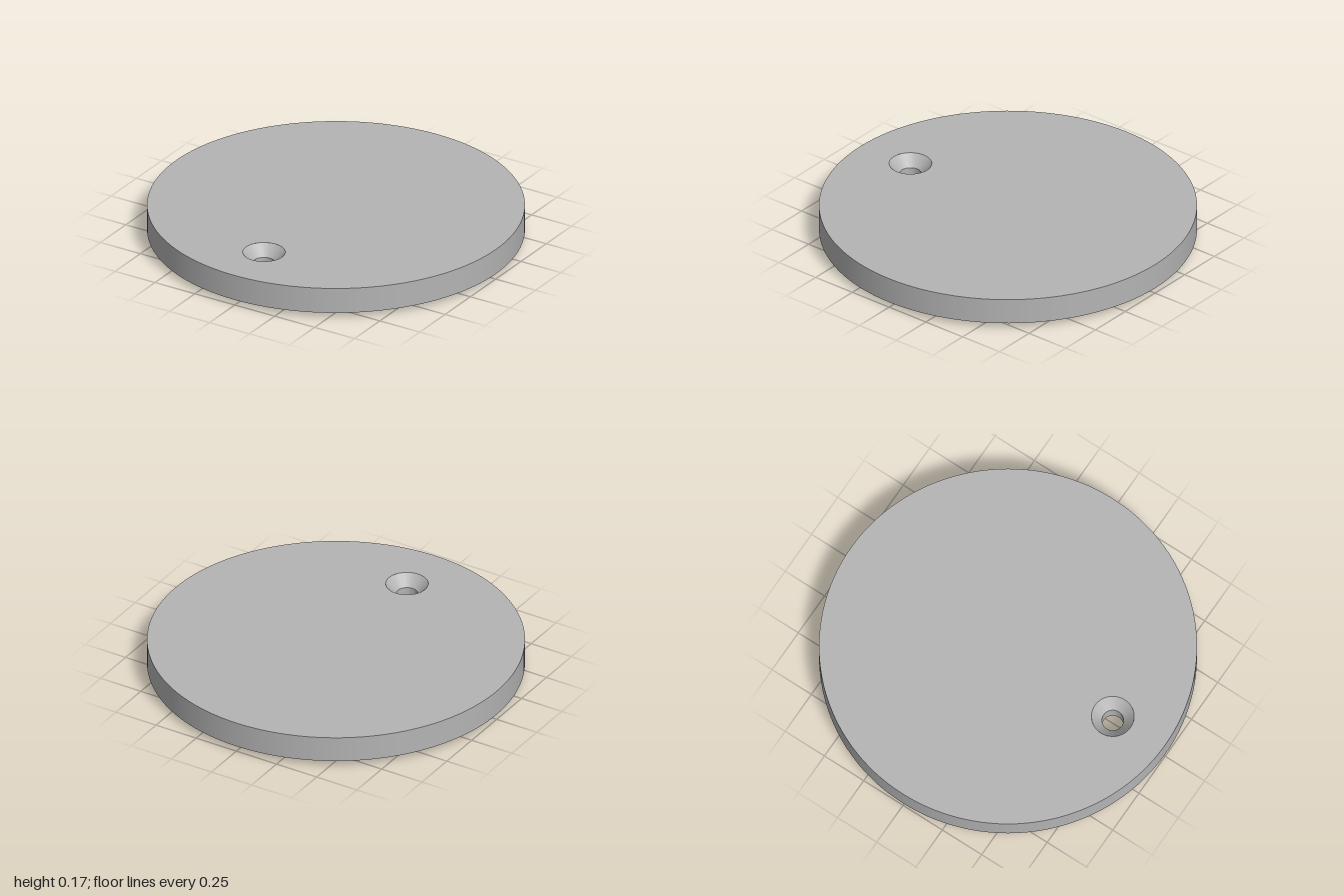
import * as THREE from 'three';
import { toCreasedNormals } from 'three/addons/utils/BufferGeometryUtils.js';

const TOP = 0.174, BASE = 0.03;              // disc top and underside heights
const HOLE = { x: -0.02, z: 0.68, r: 0.057, sinkR: 0.113, sinkDepth: 0.06 };

// Round face with one circular hole
function faceWithHole(holeY, holeR) {
  const shape = new THREE.Shape().absarc(0, 0, 1, 0, Math.PI * 2, false);
  shape.holes.push(new THREE.Path().absarc(HOLE.x, holeY, holeR, 0, Math.PI * 2, true));
  return new THREE.ShapeGeometry(shape, 64);
}

export function createModel() {
  const group = new THREE.Group();
  const grey = new THREE.MeshStandardMaterial({ color: 0xb4b4b4 });
  grey.name = 'grey';
  const add = (name, geometry, parent) => {
    const mesh = new THREE.Mesh(geometry, grey);
    mesh.name = name;
    parent.add(mesh);
    return mesh;
  };

  // Disc: rim, top, underside and countersunk hole
  const disc = new THREE.Group();
  disc.name = 'disc';
  group.add(disc);
  const rim = new THREE.CylinderGeometry(1, 1, TOP - BASE, 128, 1, true);
  add('rim', rim, disc).position.y = (TOP + BASE) / 2;
  add('topFace', faceWithHole(-HOLE.z, HOLE.sinkR).rotateX(-Math.PI / 2), disc).position.y = TOP;
  add('underside', faceWithHole(HOLE.z, HOLE.r).rotateX(Math.PI / 2), disc).position.y = BASE;
  const holeProfile = [
    new THREE.Vector2(HOLE.sinkR, TOP),
    new THREE.Vector2(HOLE.r, TOP - HOLE.sinkDepth),
    new THREE.Vector2(HOLE.r, BASE),
  ];
  const hole = toCreasedNormals(new THREE.LatheGeometry(holeProfile, 64), 0.5);
  add('countersunkHole', hole, disc).position.set(HOLE.x, 0, HOLE.z);

  // Raised plate underneath: two arcs, a stepped front edge and a T-shaped tab at the back
  const R = 0.92;
  const outline = new THREE.Shape();
  outline.moveTo(0.606, -0.69);
  outline.absarc(0, 0, R, Math.atan2(-0.69, 0.606), Math.atan2(0.768, 0.51), false);
  outline.lineTo(0.51, 0.345);
  outline.lineTo(-0.855, 0.345);
  outline.absarc(0, 0, R, Math.atan2(0.345, -0.855), Math.atan2(-0.69, -0.606) + Math.PI * 2, false);
  const tab = [[-0.07, -0.69], [-0.07, -0.8], [-0.09, -0.8], [-0.09, -0.84],
    [0.09, -0.84], [0.09, -0.8], [0.055, -0.8], [0.055, -0.69]];
  tab.forEach(([x, z]) => outline.lineTo(x, z));
  const plate = new THREE.ExtrudeGeometry(outline, { depth: BASE, bevelEnabled: false, curveSegments: 48 });
  plate.rotateX(Math.PI / 2);
  add('raisedPlate', toCreasedNormals(plate, 0.5), group).position.y = BASE;

  return group;
}
